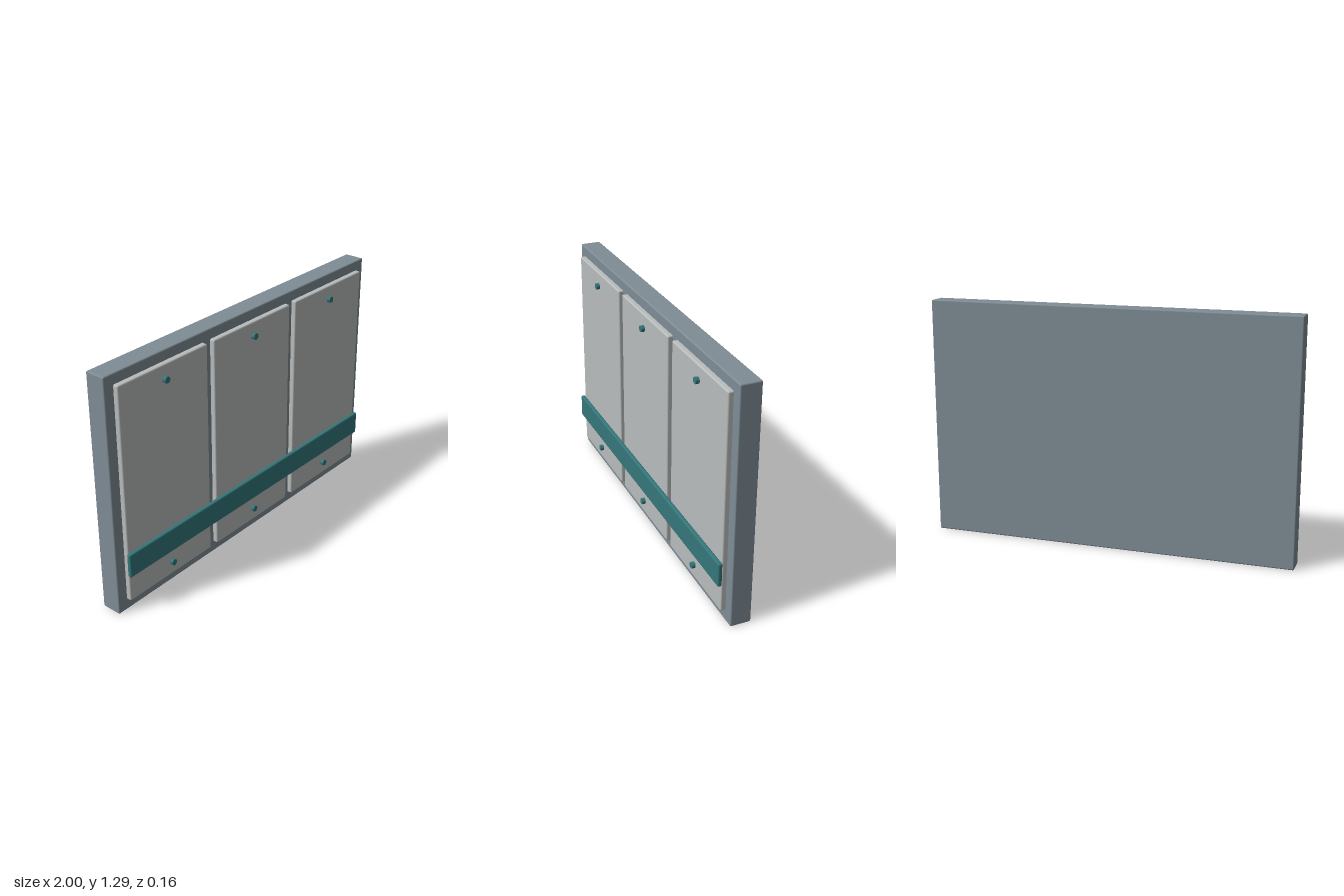
import * as THREE from 'three';
import { RoundedBoxGeometry } from 'three/addons/geometries/RoundedBoxGeometry.js';

export function createModel() {
  const group = new THREE.Group();
  group.name = 'wallPanel';

  const material = (name, color) => {
    const m = new THREE.MeshStandardMaterial({ color });
    m.name = name;
    return m;
  };
  const slate = material('slate grey', 0x7f8d96);
  const pale = material('pale grey', 0xb9bdbc);
  const teal = material('teal', 0x34777a);

  // Box with softened edges, given by its lower and upper limits
  const block = (name, mat, [x0, x1], [y0, y1], [z0, z1], bevel) => {
    const geometry = new RoundedBoxGeometry(x1 - x0, y1 - y0, z1 - z0, 2, bevel);
    const mesh = new THREE.Mesh(geometry, mat);
    mesh.name = name;
    mesh.position.set((x0 + x1) / 2, (y0 + y1) / 2, (z0 + z1) / 2);
    group.add(mesh);
  };

  // Backing slab
  block('backingSlab', slate, [-1, 1], [0, 1.29], [-0.08, 0.03], 0.007);

  // Three raised panels, each with a bolt at the top and the bottom
  const boltGeometry = new THREE.CylinderGeometry(0.017, 0.017, 0.02, 12).rotateX(Math.PI / 2);
  ['right', 'centre', 'left'].forEach((side, i) => {
    const x = (i - 1) * 0.645;
    block(`${side}Panel`, pale, [x - 0.298, x + 0.298], [0.06, 1.235], [0.018, 0.057], 0.008);
    for (const [end, y] of [['Lower', 0.137], ['Upper', 1.16]]) {
      const bolt = new THREE.Mesh(boltGeometry, teal);
      bolt.name = `${side}${end}Bolt`;
      bolt.position.set(x, y, 0.066);
      group.add(bolt);
    }
  });

  // Horizontal bumper rail across the panels
  block('bumperRail', teal, [-0.953, 0.953], [0.215, 0.346], [0.057, 0.08], 0.008);

  return group;
}
